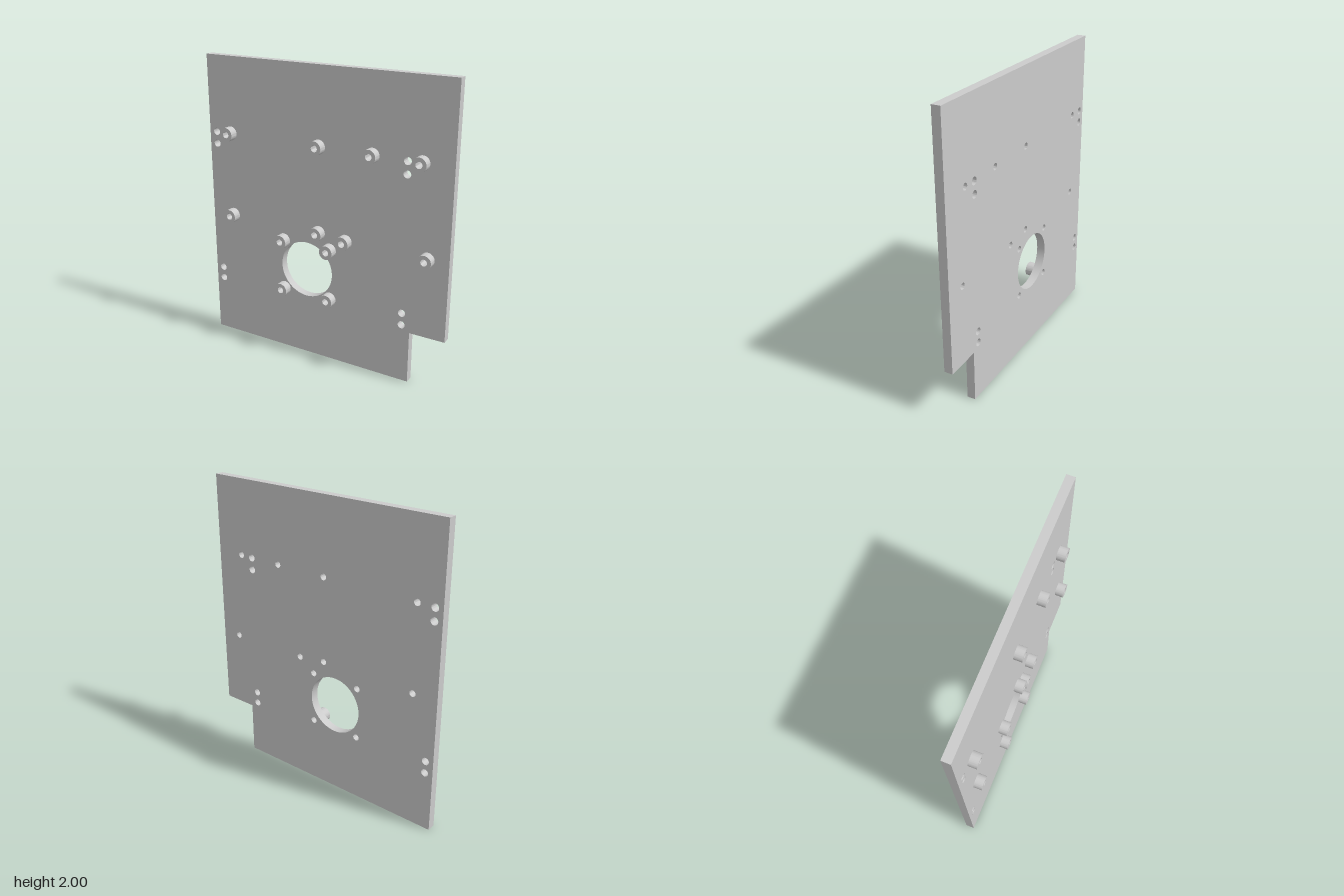
import * as THREE from 'three';
import { toCreasedNormals } from 'three/addons/utils/BufferGeometryUtils.js';

const THICK = 0.057; // plate thickness, also the standoff height
const BORE = 0.022;

// Standoff centres on the plate
const STANDOFFS = [
  [-0.71, 1.487], [-0.027, 1.487], [0.352, 1.487], [0.68, 1.487],
  [-0.71, 0.91], [-0.027, 0.91], [0.172, 0.888], [0.74, 0.888],
  [-0.299, 0.803], [0.056, 0.803], [-0.299, 0.45], [0.056, 0.45],
];

function circle(PathType, x, y, r) {
  return new PathType().absarc(x, y, r, 0, Math.PI * 2, false);
}

function extrude(shape) {
  const geometry = new THREE.ExtrudeGeometry(shape, {
    depth: THICK, bevelEnabled: false, curveSegments: 40,
  });
  return toCreasedNormals(geometry, 0.6);
}

export function createModel() {
  const group = new THREE.Group();
  group.name = 'mountingPlate';
  const material = new THREE.MeshStandardMaterial({ color: 0xcccccc });

  // Plate outline with a notch in the lower left corner
  const outline = new THREE.Shape([
    [-0.882, 0], [0.642, 0], [0.642, 0.358], [0.882, 0.358], [0.882, 2], [-0.882, 2],
  ].map(([x, y]) => new THREE.Vector2(x, y)));

  // Large round opening
  outline.holes.push(circle(THREE.Path, -0.121, 0.626, 0.195));
  // Paired fixing holes
  for (const x of [-0.827, 0.585]) {
    for (const y of [0.402, 0.484, 1.403, 1.485]) {
      outline.holes.push(circle(THREE.Path, x, y, 0.025));
    }
  }
  // Bores that continue through the standoffs
  for (const [x, y] of STANDOFFS) outline.holes.push(circle(THREE.Path, x, y, BORE));

  const plate = new THREE.Mesh(extrude(outline), material);
  plate.name = 'plate';
  plate.position.z = -THICK;
  group.add(plate);

  // Hollow standoffs on the front face
  const ring = circle(THREE.Shape, 0, 0, 0.047);
  ring.holes.push(circle(THREE.Path, 0, 0, BORE));
  const ringGeometry = extrude(ring);
  STANDOFFS.forEach(([x, y], i) => {
    const standoff = new THREE.Mesh(ringGeometry, material);
    standoff.name = `standoff${i + 1}`;
    standoff.position.set(x, y, 0);
    group.add(standoff);
  });

  return group;
}
